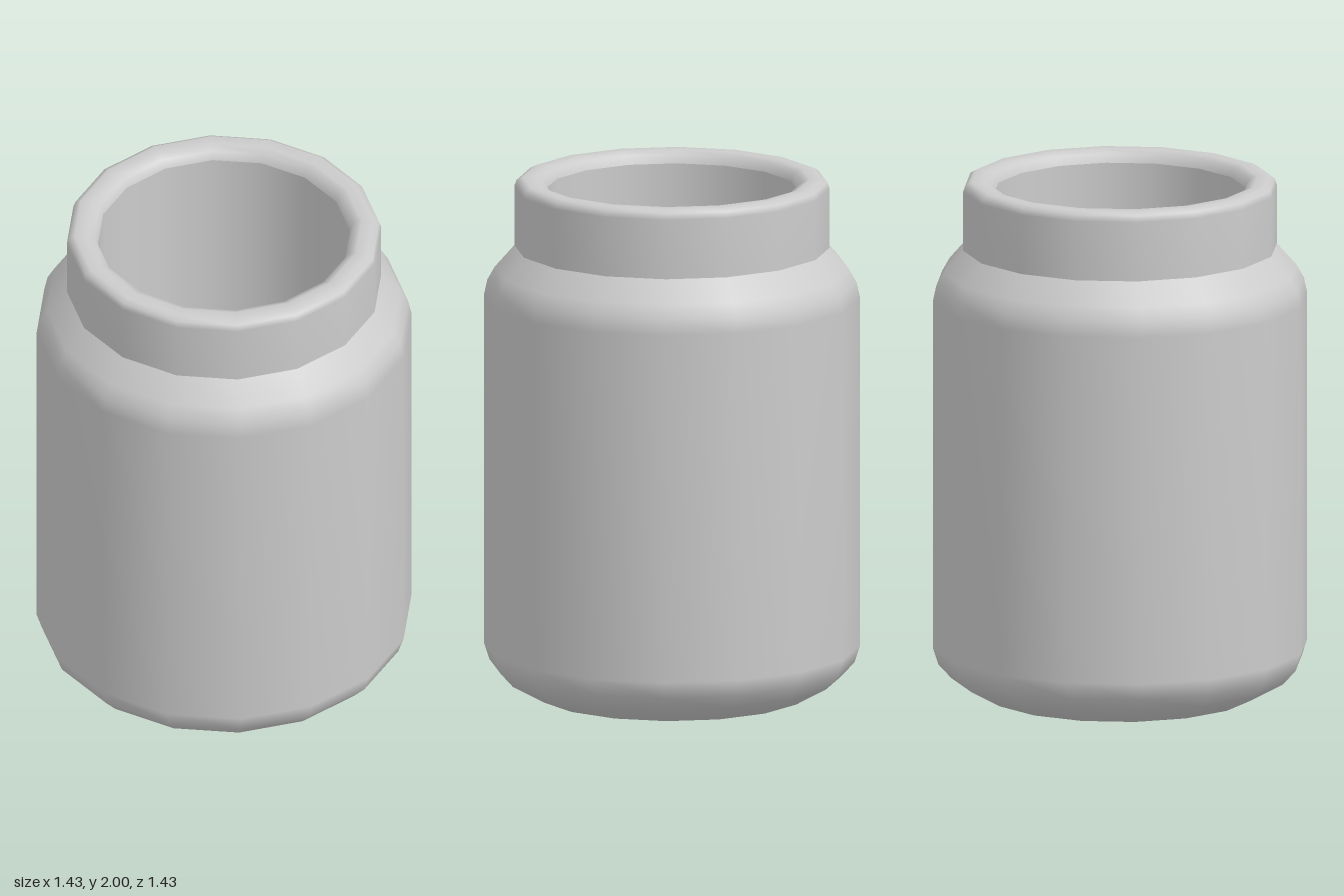
import * as THREE from 'three';

const SIDES = 16;

export function createModel() {
  const jar = new THREE.Group();
  jar.name = 'jar';
  const material = new THREE.MeshStandardMaterial({ color: 0xcccccc });

  // Revolves a [radius, height] profile; separate parts meet in sharp edges.
  function revolve(name, profile) {
    const points = profile.map(([r, y]) => new THREE.Vector2(r, y));
    const mesh = new THREE.Mesh(new THREE.LatheGeometry(points, SIDES), material);
    mesh.name = name;
    jar.add(mesh);
  }

  // Body: flat base, rounded lower edge, straight wall and sloping shoulder
  revolve('body', [
    [0, 0], [0.52, 0], [0.645, 0.07], [0.695, 0.125], [0.716, 0.19],
    [0.716, 1.54], [0.703, 1.6], [0.675, 1.65], [0.6, 1.735],
  ]);

  // Neck with a rounded lip, turning down into the mouth
  revolve('neck', [
    [0.6, 1.735], [0.6, 1.965], [0.592, 1.988], [0.57, 2],
    [0.525, 2], [0.495, 1.988], [0.481, 1.955],
  ]);

  // Hollow inside
  revolve('innerWall', [[0.481, 1.955], [0.474, 0.12]]);
  revolve('innerFloor', [[0.474, 0.12], [0, 0.12]]);

  return jar;
}
